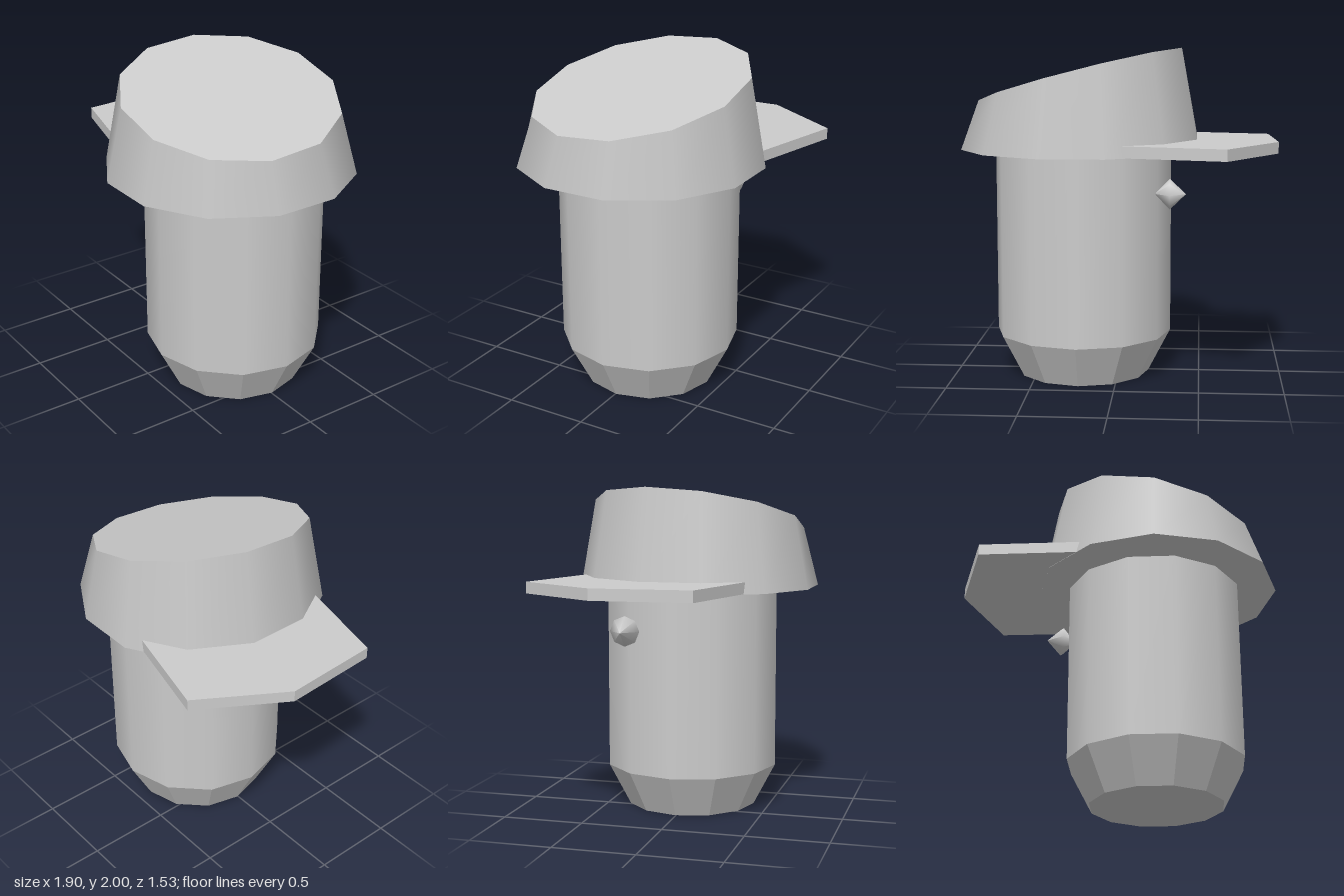
import * as THREE from 'three';

const SIDES = 12;
const grey = new THREE.MeshStandardMaterial({ color: 0xcccccc });
const flatGrey = new THREE.MeshStandardMaterial({ color: 0xcccccc, flatShading: true });

function part(name, geometry, material, x = 0, y = 0, z = 0) {
  const mesh = new THREE.Mesh(geometry, material);
  mesh.name = name;
  mesh.position.set(x, y, z);
  return mesh;
}

// Tapered drum whose top ring is cut by a sloping plane
function slantedCap() {
  const bottom = 1.39;
  const g = new THREE.CylinderGeometry(0.634, 0.745, 1, SIDES);
  g.rotateY(Math.PI / SIDES);
  const p = g.attributes.position;
  for (let i = 0; i < p.count; i++) {
    if (p.getY(i) > 0) {
      const z = p.getZ(i) * 1.03;
      p.setZ(i, z);
      p.setY(i, 1.835 - 0.257 * p.getX(i) - 0.07 * z - bottom);
    } else p.setY(i, 0);
  }
  // keep the smooth side normals, refresh only the sloping lid
  const n = g.attributes.normal;
  const lid = new THREE.Vector3(0.257, 1, 0.07).normalize();
  for (let i = 0; i < n.count; i++) {
    if (n.getY(i) > 0.9) n.setXYZ(i, lid.x, lid.y, lid.z);
  }
  return part('cap', g, grey, 0.23, bottom, 0.04);
}

// Flat angular brim, its inner edge buried in the cap
function brim() {
  const outline = [[0, -0.605], [-0.645, -0.77], [-0.955, -0.28], [-0.925, 0.305], [-0.3, 0.471]];
  const shape = new THREE.Shape(outline.map(([x, z]) => new THREE.Vector2(x, -z)));
  const g = new THREE.ExtrudeGeometry(shape, { depth: 0.068, bevelEnabled: false });
  g.rotateX(-Math.PI / 2);
  return part('brim', g, flatGrey, 0, 1.392, 0);
}

// Small pointed stud with its axis along x
function stud() {
  const profile = [[0, -0.09], [0.092, 0], [0, 0.095]].map(([r, h]) => new THREE.Vector2(r, h));
  const g = new THREE.LatheGeometry(profile, 8);
  g.rotateZ(Math.PI / 2);
  return part('stud', g, grey, -0.32, 1.147, -0.28);
}

export function createModel() {
  const model = new THREE.Group();
  model.name = 'cappedPost';

  // Post: smooth shaft above a faceted, tapering foot
  model.add(part('shaft', new THREE.CylinderGeometry(0.54, 0.54, 1.14, SIDES, 1, true), grey, 0.22, 0.83, -0.005));
  model.add(part('foot', new THREE.CylinderGeometry(0.54, 0.405, 0.26, SIDES), flatGrey, 0.22, 0.13, -0.005));

  model.add(slantedCap(), brim(), stud());
  return model;
}
